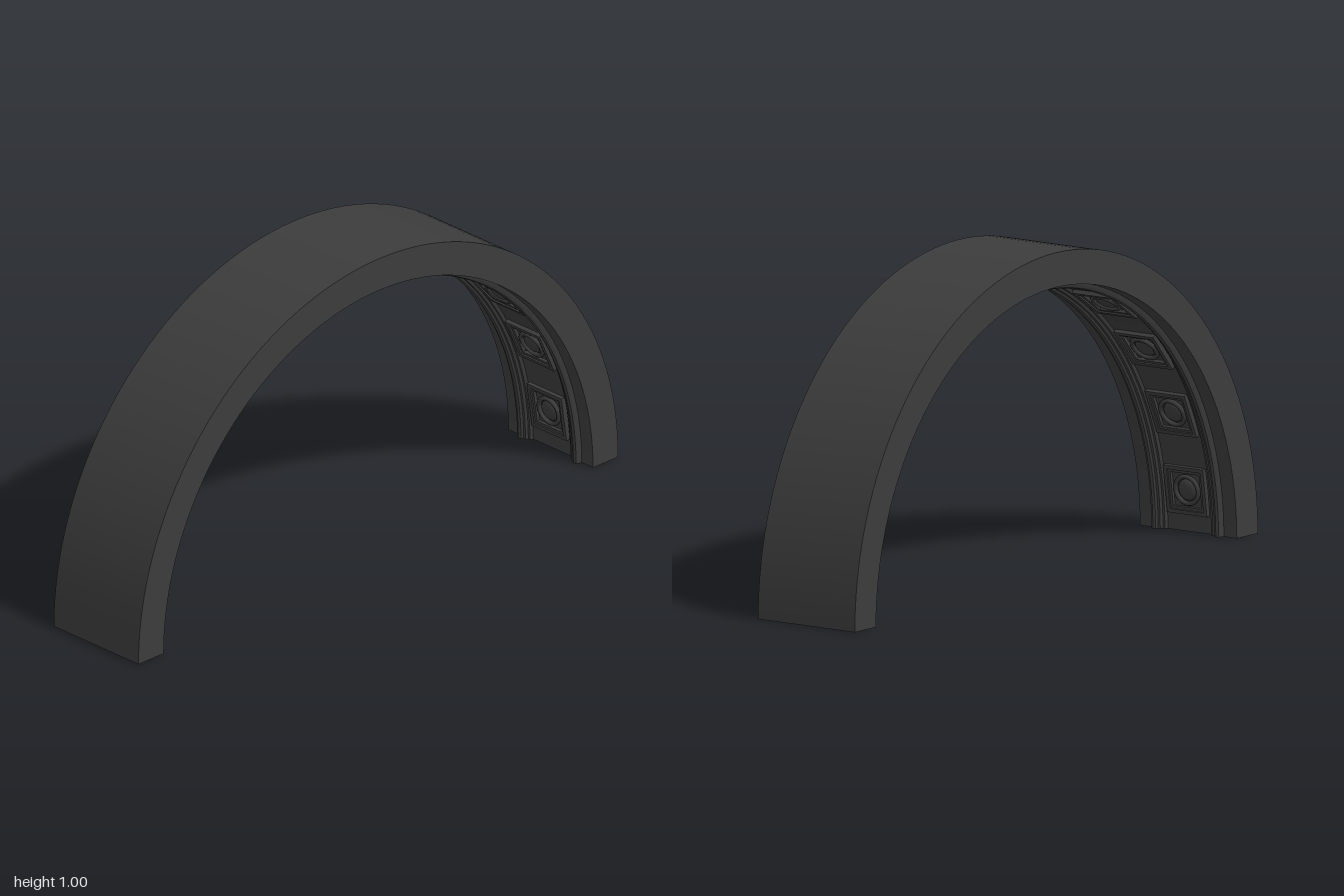
import * as THREE from 'three';
import { toCreasedNormals } from 'three/addons/utils/BufferGeometryUtils.js';

const material = new THREE.MeshStandardMaterial({ color: 0x3c3c3c });
const PANEL_R = 0.903;
const COFFERS = 11;

function addMesh(parent, name, geometry) {
  const mesh = new THREE.Mesh(geometry, material);
  mesh.name = name;
  parent.add(mesh);
  return mesh;
}

// Square frame with a square opening, standing out along +z
function squareFrame(outer, inner, depth) {
  const square = (Type, h) => new Type([
    new THREE.Vector2(-h, -h), new THREE.Vector2(h, -h),
    new THREE.Vector2(h, h), new THREE.Vector2(-h, h),
  ]);
  const shape = square(THREE.Shape, outer);
  shape.holes.push(square(THREE.Path, inner));
  return new THREE.ExtrudeGeometry(shape, { depth, bevelEnabled: false });
}

// One soffit ornament: stepped square frame, round ring and low boss
function createCoffer() {
  const coffer = new THREE.Group();
  coffer.name = 'coffer';
  addMesh(coffer, 'outerFrame', squareFrame(0.074, 0.062, 0.016));
  addMesh(coffer, 'innerFrame', squareFrame(0.063, 0.053, 0.011));
  addMesh(coffer, 'ring', new THREE.TorusGeometry(0.042, 0.007, 8, 32)).position.z = 0.006;
  const boss = addMesh(coffer, 'boss',
    new THREE.SphereGeometry(0.033, 24, 8, 0, Math.PI * 2, 0, Math.PI / 2).rotateX(Math.PI / 2));
  boss.scale.z = 0.35;
  boss.position.z = 0.002;
  return coffer;
}

export function createModel() {
  const arch = new THREE.Group();
  arch.name = 'arch';

  // Half of the soffit moulding as [radius, z], from the face to the panel
  const half = [
    [0.895, 0.18], [0.895, 0.132], [0.886, 0.13], [0.878, 0.125], [0.875, 0.117],
    [0.878, 0.109], [0.885, 0.105], [0.885, 0.097], [0.893, 0.093], [0.893, 0.086],
    [PANEL_R, 0.082],
  ];
  const profile = [
    [1, -0.18], [1, 0.18], ...half,
    ...half.slice().reverse().map(([r, z]) => [r, -z]),
  ].map(([r, z]) => new THREE.Vector2(r, z));

  // Half-ring sweep of the closed profile
  const sweep = new THREE.LatheGeometry([...profile, profile[0].clone()], 72, Math.PI / 2, Math.PI);
  sweep.rotateX(Math.PI / 2);
  addMesh(arch, 'archBand', toCreasedNormals(sweep, 0.5));

  // Flat undersides of both feet
  for (const turn of [0, Math.PI]) {
    const foot = new THREE.ShapeGeometry(new THREE.Shape(profile));
    foot.rotateX(Math.PI / 2).rotateY(turn);
    addMesh(arch, 'footUnderside', foot);
  }

  // Row of coffers facing the arch centre
  for (let i = 0; i < COFFERS; i++) {
    const a = (i + 0.5) * Math.PI / COFFERS;
    const coffer = createCoffer();
    coffer.up.set(0, 0, 1);
    coffer.position.set(Math.cos(a) * PANEL_R, Math.sin(a) * PANEL_R, 0);
    coffer.lookAt(0, 0, 0);
    arch.add(coffer);
  }
  return arch;
}
